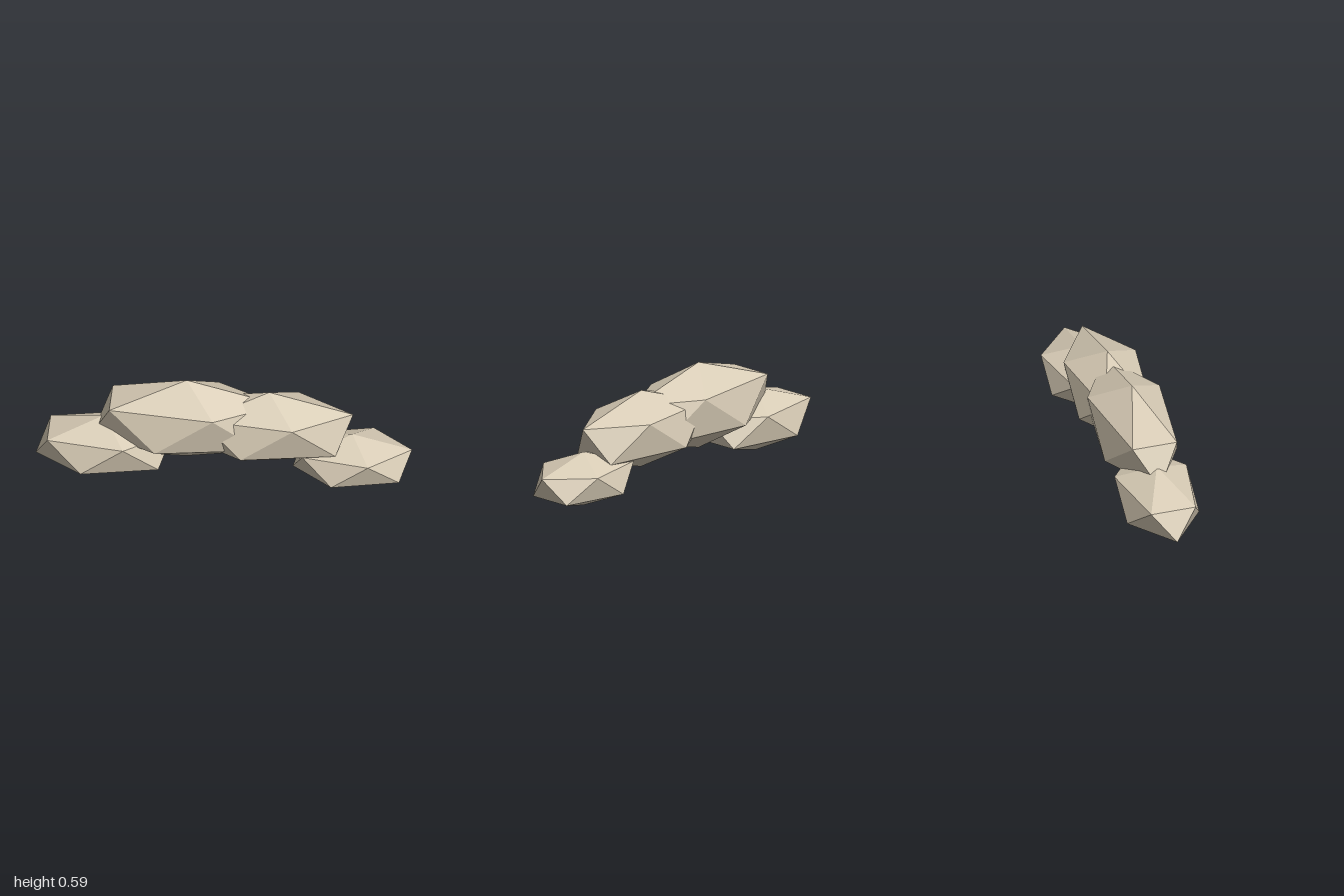
import * as THREE from 'three';

export function createModel() {
  const model = new THREE.Group();
  model.name = 'rockCluster';
  const stone = new THREE.MeshStandardMaterial({ color: 0xd8ccb6 });
  stone.name = 'paleStone';
  stone.flatShading = true;

  // Unit icosahedron standing on a corner, with an upper-ring corner facing +x
  const tilt = -Math.atan(2 / (1 + Math.sqrt(5)));
  const lump = () => new THREE.IcosahedronGeometry(1, 0).rotateZ(tilt);

  // name, centre x, centre y, radius x, radius y
  const lumps = [
    ['leftEndLump', 0.683, 0.153, 0.355, 0.148],
    ['leftMiddleLump', 0.241, 0.330, 0.499, 0.212],
    ['rightMiddleLump', -0.198, 0.3595, 0.556, 0.2375],
    ['rightEndLump', -0.635, 0.183, 0.408, 0.174],
  ];
  for (const [name, x, y, rx, ry] of lumps) {
    const mesh = new THREE.Mesh(lump().scale(rx, ry, 0.235), stone);
    mesh.name = name;
    mesh.position.set(x, y, 0);
    model.add(mesh);
  }
  return model;
}
